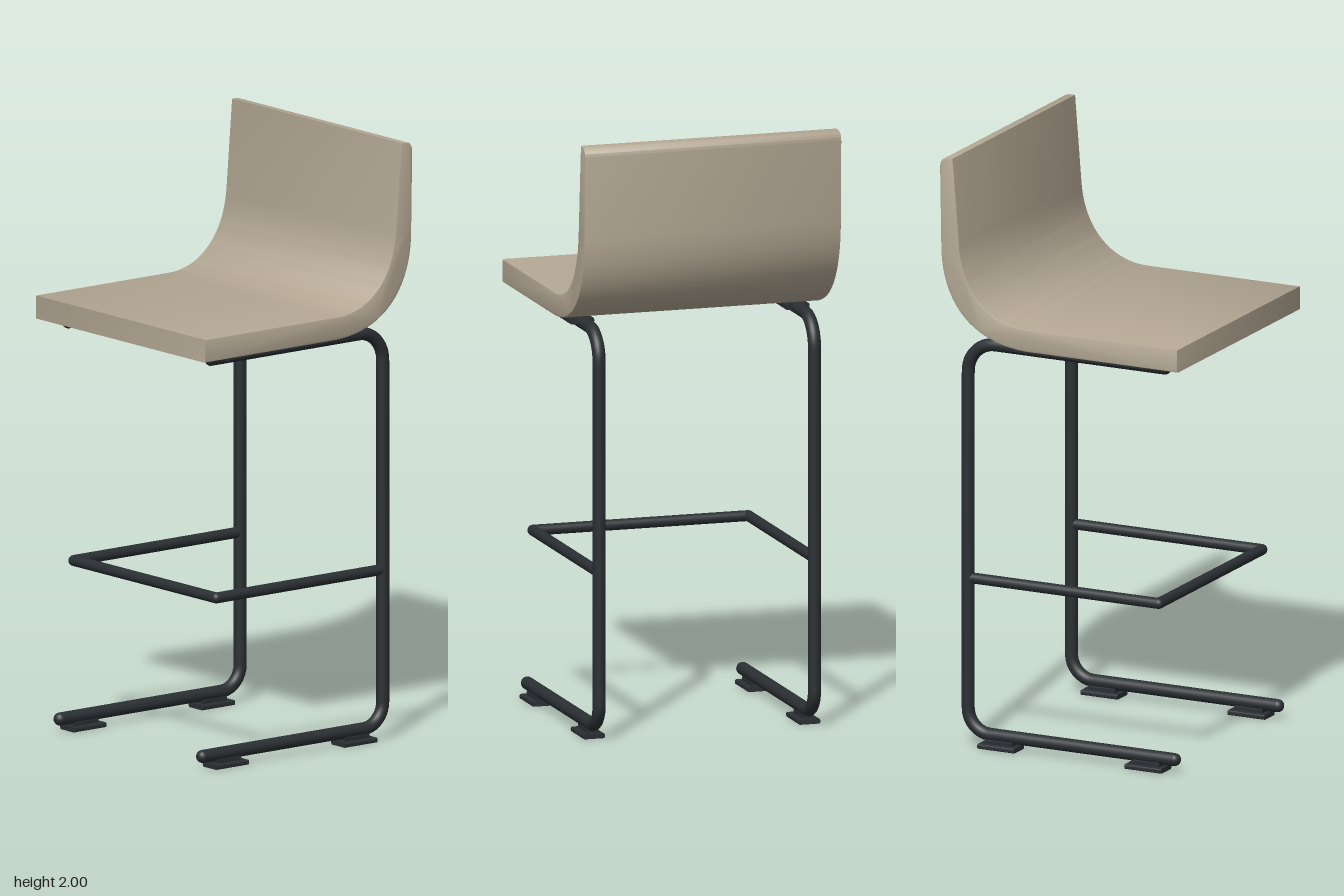
import * as THREE from 'three';
import { toCreasedNormals } from 'three/addons/utils/BufferGeometryUtils.js';

const shellMat = new THREE.MeshStandardMaterial({ color: 0xb3a793 });
const frameMat = new THREE.MeshStandardMaterial({ color: 0x2a2f33 });
const V = (x, y, z) => new THREE.Vector3(x, y, z);

function add(parent, name, geometry, material, position) {
  const mesh = new THREE.Mesh(geometry, material);
  mesh.name = name;
  if (position) mesh.position.copy(position);
  parent.add(mesh);
  return mesh;
}

// Shape drawn with its x axis pointing backwards, extruded across the width
function extrudeAcross(shape, width, bevel) {
  const geo = new THREE.ExtrudeGeometry(shape, {
    depth: width - 2 * bevel, curveSegments: 20,
    bevelThickness: bevel, bevelSize: bevel, bevelOffset: -bevel, bevelSegments: 2,
  });
  geo.translate(0, 0, -(width / 2 - bevel));
  geo.rotateY(Math.PI / 2);
  return toCreasedNormals(geo, 0.6);
}

// Seat and backrest as one curved shell
function seatShape() {
  const s = new THREE.Shape();
  s.moveTo(-0.437, 1.378);
  s.lineTo(0.12, 1.378);
  s.bezierCurveTo(0.31, 1.385, 0.437, 1.5, 0.432, 1.72);
  s.lineTo(0.436, 1.965);
  s.bezierCurveTo(0.436, 1.99, 0.425, 2, 0.4, 2);
  s.lineTo(0.388, 2);
  s.lineTo(0.364, 1.7);
  s.bezierCurveTo(0.35, 1.55, 0.255, 1.455, 0.12, 1.455);
  s.lineTo(-0.437, 1.455);
  s.closePath();
  return s;
}

// Side frame: top rail, bend, upright, bend, floor runner
function legPath() {
  const back = -0.367, top = 1.367, low = 0.044, R = 0.1, r = 0.08, k = 0.45;
  const path = new THREE.CurvePath();
  path.add(new THREE.LineCurve3(V(0, top, 0.355), V(0, top, back + R)));
  path.add(new THREE.CubicBezierCurve3(V(0, top, back + R), V(0, top, back + R * k),
    V(0, top - R * k - 0.0 + 0.0, back), V(0, top - R, back)));
  path.add(new THREE.LineCurve3(V(0, top - R, back), V(0, low + r, back)));
  path.add(new THREE.CubicBezierCurve3(V(0, low + r, back), V(0, low + r * k, back),
    V(0, low, back + r * k), V(0, low, back + r)));
  path.add(new THREE.LineCurve3(V(0, low, back + r), V(0, low, 0.39)));
  return path;
}

// Flat bar with rounded corners, lying along z
function pad(width, height, length) {
  const w = width / 2, h = height / 2, c = height * 0.3;
  const s = new THREE.Shape();
  s.moveTo(-w + c, -h);
  s.lineTo(w - c, -h);
  s.quadraticCurveTo(w, -h, w, 0);
  s.quadraticCurveTo(w, h, w - c, h);
  s.lineTo(-w + c, h);
  s.quadraticCurveTo(-w, h, -w, 0);
  s.quadraticCurveTo(-w, -h, -w + c, -h);
  const geo = new THREE.ExtrudeGeometry(s, { depth: length, bevelEnabled: false, curveSegments: 4 });
  geo.translate(0, 0, -length / 2);
  return toCreasedNormals(geo, 0.6);
}

function rod(parent, name, a, b, radius) {
  const dir = b.clone().sub(a);
  const mesh = add(parent, name, new THREE.CylinderGeometry(radius, radius, dir.length(), 20), frameMat,
    a.clone().add(b).multiplyScalar(0.5));
  mesh.quaternion.setFromUnitVectors(V(0, 1, 0), dir.normalize());
}

export function createModel() {
  const model = new THREE.Group();
  model.name = 'barStool';
  add(model, 'seatShell', extrudeAcross(seatShape(), 0.882, 0.005), shellMat);

  const legX = 0.37, tubeR = 0.0215, restR = 0.018, restY = 0.566, restZ = 0.332;
  const tube = new THREE.TubeGeometry(legPath(), 180, tubeR, 20, false);
  const cap = new THREE.SphereGeometry(tubeR, 20, 12);
  const corner = new THREE.SphereGeometry(restR, 20, 12);

  for (const side of [-1, 1]) {
    const frame = new THREE.Group();
    frame.name = side > 0 ? 'leftFrame' : 'rightFrame';
    frame.position.x = side * legX;
    model.add(frame);

    add(frame, 'legTube', tube, frameMat);
    add(frame, 'topRailEnd', cap, frameMat, V(0, 1.367, 0.355));
    add(frame, 'floorRunnerEnd', cap, frameMat, V(0, 0.044, 0.39));
    // Plate holding the seat to the rail
    add(frame, 'mountingPlate', pad(0.082, 0.02, 0.5), frameMat, V(0, 1.37, 0.06));
    // Floor glides, each a sole with a narrower saddle under the tube
    for (const z of [0.292, -0.248]) {
      add(frame, 'floorGlide', pad(0.074, 0.016, 0.135), frameMat, V(0, 0.008, z));
      add(frame, 'glideSaddle', pad(0.036, 0.024, 0.1), frameMat, V(0, 0.022, z));
    }
    // Footrest arm and its front corner
    rod(frame, 'footrestArm', V(0, restY, -0.36), V(0, restY, restZ), restR);
    add(frame, 'footrestCorner', corner, frameMat, V(0, restY, restZ));
  }
  rod(model, 'footrestBar', V(-legX, restY, restZ), V(legX, restY, restZ), restR);
  return model;
}
